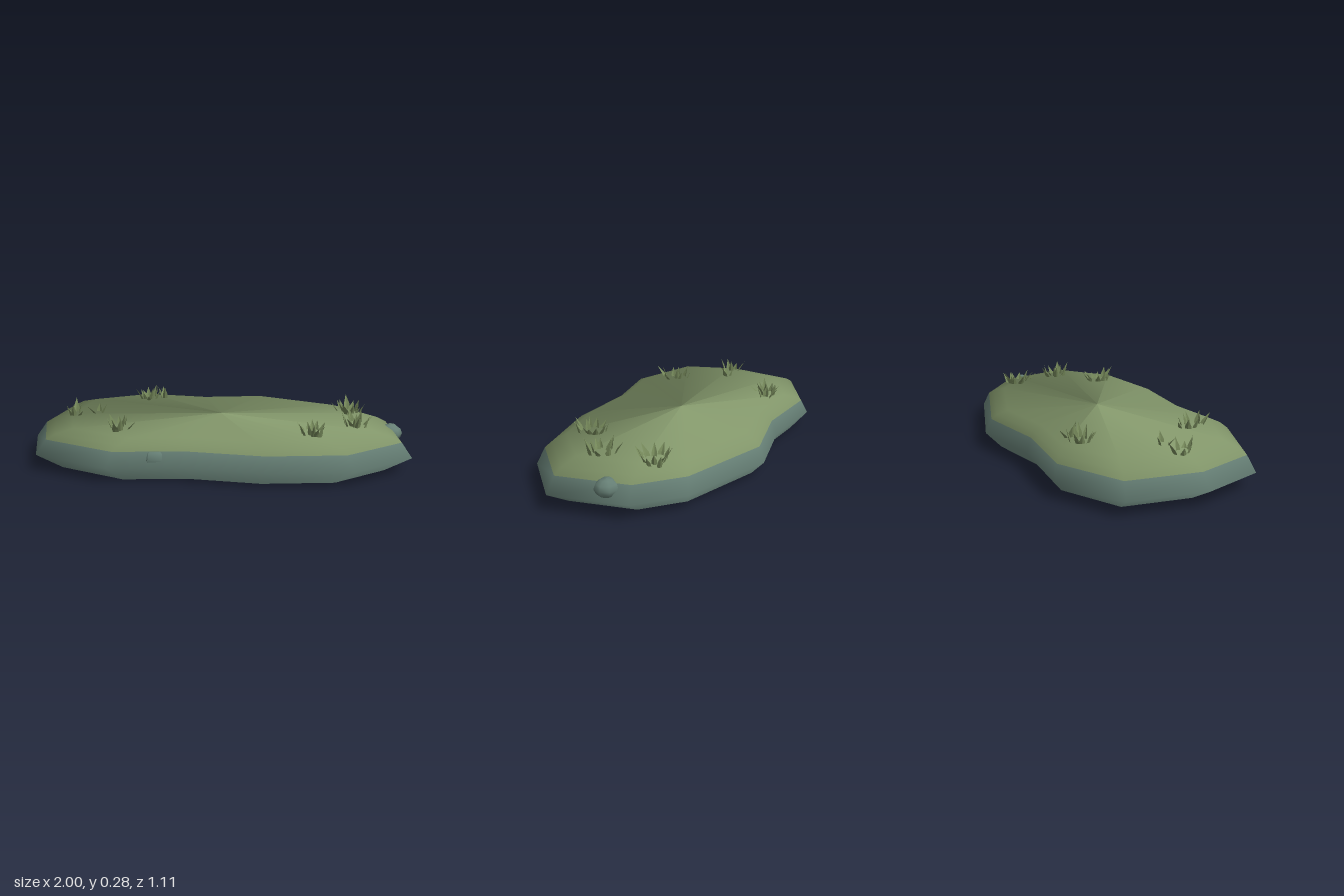
import * as THREE from 'three';

const OUTLINE = [
  [-0.595, -0.51], [-0.18, -0.48], [0.21, -0.56], [0.72, -0.395], [0.93, -0.2], [1, 0.19], [0.715, 0.44],
  [0.3, 0.515], [-0.13, 0.49], [-0.495, 0.55], [-0.9, 0.395], [-1, 0.075], [-0.94, -0.32],
];

function mat(name, color) {
  const m = new THREE.MeshStandardMaterial({ color, side: THREE.DoubleSide });
  m.name = name;
  return m;
}

function seeded(seed) {
  return () => {
    seed = (seed * 16807) % 2147483647;
    return seed / 2147483647;
  };
}

// Skin over scaled copies of the outline; each ring is [height, scale, outward lean of its normal]
function loft(rings) {
  const n = OUTLINE.length, pos = [], nor = [], idx = [];
  for (const [y, s, lean] of rings) {
    for (let j = 0; j <= n; j++) {
      const [x, z] = OUTLINE[j % n];
      const [px, pz] = OUTLINE[(j + n - 1) % n], [qx, qz] = OUTLINE[(j + 1) % n];
      const out = new THREE.Vector2(qz - pz, px - qx).normalize();
      pos.push(x * s, y, z * s);
      nor.push(out.x * Math.sin(lean), Math.cos(lean), out.y * Math.sin(lean));
    }
  }
  for (let i = 0; i < rings.length - 1; i++) {
    for (let j = 0; j < n; j++) {
      const a = i * (n + 1) + j, c = a + n + 1;
      idx.push(a, c, a + 1);
      if (rings[i + 1][1] > 0) idx.push(a + 1, c, c + 1);
    }
  }
  const g = new THREE.BufferGeometry();
  g.setAttribute('position', new THREE.Float32BufferAttribute(pos, 3));
  g.setAttribute('normal', new THREE.Float32BufferAttribute(nor, 3));
  g.setIndex(idx);
  return g;
}

// Lumpy rounded stone
function rock(r, seed) {
  const g = new THREE.SphereGeometry(r, 8, 6);
  const p = g.attributes.position, v = new THREE.Vector3();
  for (let i = 0; i < p.count; i++) {
    v.fromBufferAttribute(p, i);
    const k = 1 + 0.1 * Math.sin(v.x / r * 3 + seed) * Math.cos(v.z / r * 2.5 + seed * 2);
    p.setXYZ(i, v.x * k, v.y * k * 0.8, v.z * k);
  }
  g.computeVertexNormals();
  return g;
}

// Tuft of folded, pointed blades leaning outwards
function tuft(count, spreadX, spreadZ, rnd) {
  const pos = [];
  for (let i = 0; i < count; i++) {
    const a = (i + rnd() * 0.7) / count * Math.PI * 2;
    const d = 0.2 + 0.6 * rnd();
    const base = new THREE.Vector3(Math.cos(a) * spreadX * d, -0.02, Math.sin(a) * spreadZ * d);
    const dir = new THREE.Vector3(Math.cos(a), 0, Math.sin(a));
    const side = new THREE.Vector3(-dir.z, 0, dir.x);
    const h = 0.055 + 0.04 * rnd(), reach = 0.02 + 0.045 * rnd(), w = 0.011 + 0.005 * rnd();
    const at = (o, u, s) => base.clone().addScaledVector(dir, o).addScaledVector(side, s).setY(base.y + u);
    const l = at(0, 0, -w), r = at(0, 0, w), m = at(0.008, 0, 0);
    const ml = at(reach * 0.4, h * 0.5, -w), mr = at(reach * 0.4, h * 0.5, w);
    const mm = at(reach * 0.4 + 0.006, h * 0.48, 0), tip = at(reach, h, 0);
    for (const t of [[l, ml, m], [m, ml, mm], [m, mm, r], [r, mm, mr], [ml, tip, mm], [mm, tip, mr]]) {
      for (const v of t) pos.push(v.x, v.y, v.z);
    }
  }
  const g = new THREE.BufferGeometry();
  g.setAttribute('position', new THREE.Float32BufferAttribute(pos, 3));
  g.computeVertexNormals();
  return g;
}

export function createModel() {
  const model = new THREE.Group();
  const stone = mat('grey green stone', 0x667f75);
  const moss = mat('moss green', 0x82966a);
  const grass = mat('grass green', 0x75885a);
  const add = (name, geometry, material, x = 0, y = 0, z = 0) => {
    const mesh = new THREE.Mesh(geometry, material);
    mesh.name = name;
    mesh.position.set(x, y, z);
    model.add(mesh);
    return mesh;
  };

  // Hollow bank, open underneath, and its shallow mossy cap
  add('stoneRim', loft([[0, 0.865, 1.75], [0.08, 1, 1.5], [0.157, 0.945, 1.05]]), stone);
  add('mossCap', loft([[0.157, 0.945, 1.05], [0.182, 0.895, 0.9], [0.205, 0.8, 0.75], [0.225, 0, 0.75]]), moss);

  // Stones set into the wall: x, y, z, radius
  const rocks = [
    [0.9, 0.13, -0.07, 0.06], [-0.27, 0.115, 0.425, 0.085], [-0.47, 0.11, 0.42, 0.08],
    [0.375, 0.14, 0.4, 0.065], [0.49, 0.12, 0.36, 0.06], [0.77, 0.12, 0.2, 0.065],
    [0.7, 0.11, 0.25, 0.06], [-0.68, 0.11, -0.16, 0.075], [-0.8, 0.1, -0.03, 0.09], [-0.82, 0.1, 0.11, 0.075],
  ];
  rocks.forEach(([x, y, z, r], i) => {
    add('rock', rock(r, i + 1), stone, x, y, z).rotation.y = i * 1.3;
  });

  // Grass tufts: x, y, z, blade count, half width, half depth
  const rnd = seeded(417);
  const tufts = [
    [0.68, 0.205, -0.2, 13, 0.07, 0.08], [0.71, 0.203, 0.07, 12, 0.06, 0.1], [0.5, 0.205, 0.25, 13, 0.06, 0.09],
    [-0.49, 0.204, 0.28, 9, 0.05, 0.08], [-0.46, 0.204, -0.31, 10, 0.05, 0.06], [-0.79, 0.198, 0.05, 6, 0.03, 0.05],
    [-0.67, 0.207, 0.02, 3, 0.03, 0.02], [-0.37, 0.208, -0.33, 3, 0.02, 0.015],
  ];
  for (const [x, y, z, count, sx, sz] of tufts) add('grassTuft', tuft(count, sx, sz, rnd), grass, x, y, z);

  return model;
}
